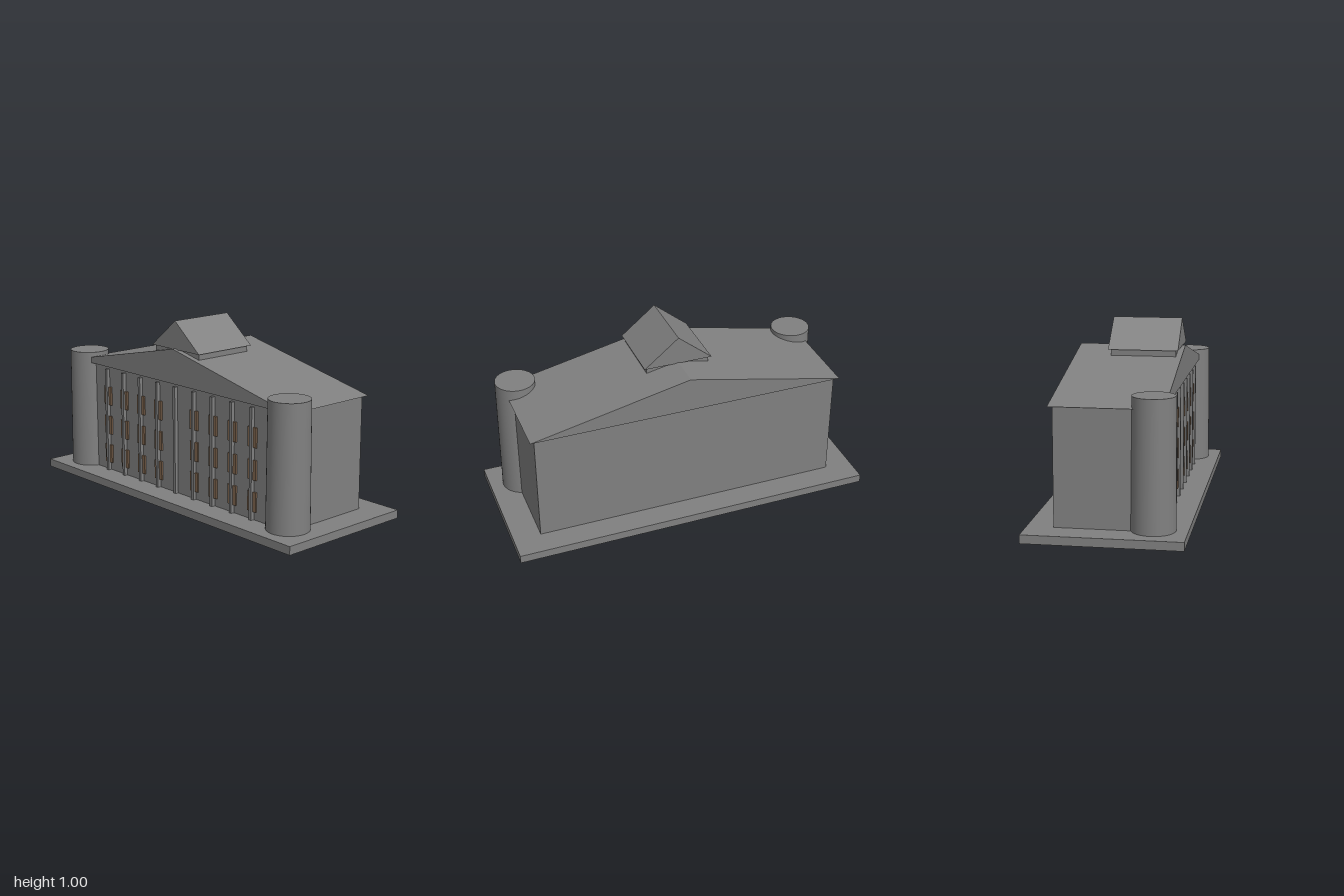
import * as THREE from 'three';

export function createModel() {
  const model = new THREE.Group();
  model.name = 'hall';

  const stone = new THREE.MeshStandardMaterial({ color: 0x808080 });
  stone.name = 'grey stone';
  const glass = new THREE.MeshStandardMaterial({ color: 0x80664f });
  glass.name = 'brown window';

  const add = (name, geometry, material = stone, parent = model) => {
    const mesh = new THREE.Mesh(geometry, material);
    mesh.name = name;
    parent.add(mesh);
    return mesh;
  };

  // Box given by its minimum and maximum on each axis
  const box = (name, x0, x1, y0, y1, z0, z1, material, parent) =>
    add(name, new THREE.BoxGeometry(x1 - x0, y1 - y0, z1 - z0), material, parent)
      .position.set((x0 + x1) / 2, (y0 + y1) / 2, (z0 + z1) / 2);

  // Triangular prism with its ridge running along z
  const gable = (name, halfWidth, y0, y1, z0, z1) => {
    const shape = new THREE.Shape();
    shape.moveTo(-halfWidth, y0);
    shape.lineTo(halfWidth, y0);
    shape.lineTo(0, y1);
    shape.closePath();
    const geometry = new THREE.ExtrudeGeometry(shape, { depth: z1 - z0, bevelEnabled: false });
    add(name, geometry).position.z = z0;
  };

  // Plinth, main block and main roof
  box('plinth', -1, 1, 0, 0.045, -0.405, 0.405);
  box('mainBlock', -0.85, 0.85, 0.045, 0.66, -0.267, 0.263);
  gable('mainRoof', 0.875, 0.66, 0.85, -0.288, 0.288);

  // Small rooftop house
  box('cupolaBase', -0.175, 0.175, 0.78, 0.845, -0.093, 0.257);
  gable('cupolaRoof', 0.19, 0.845, 1, -0.106, 0.27);

  // Slightly tapered round towers at the front corners
  for (const side of [-1, 1]) {
    add(side > 0 ? 'leftTower' : 'rightTower', new THREE.CylinderGeometry(0.109, 0.114, 0.675, 40))
      .position.set(side * 0.815, 0.3825, 0.23);
  }

  // Facade: nine slim piers, with three windows behind each but the middle one
  const facade = new THREE.Group();
  facade.name = 'facade';
  model.add(facade);
  for (let i = -4; i <= 4; i++) {
    const x = i * 0.1485;
    box('pier', x - 0.009, x + 0.009, 0.045, 0.642, 0.262, 0.283, stone, facade);
    if (i === 0) continue;
    for (const y of [0.143, 0.313, 0.485]) {
      box('window', x - 0.03, x + 0.03, y - 0.053, y + 0.053, 0.2635, 0.273, glass, facade);
    }
  }

  return model;
}
